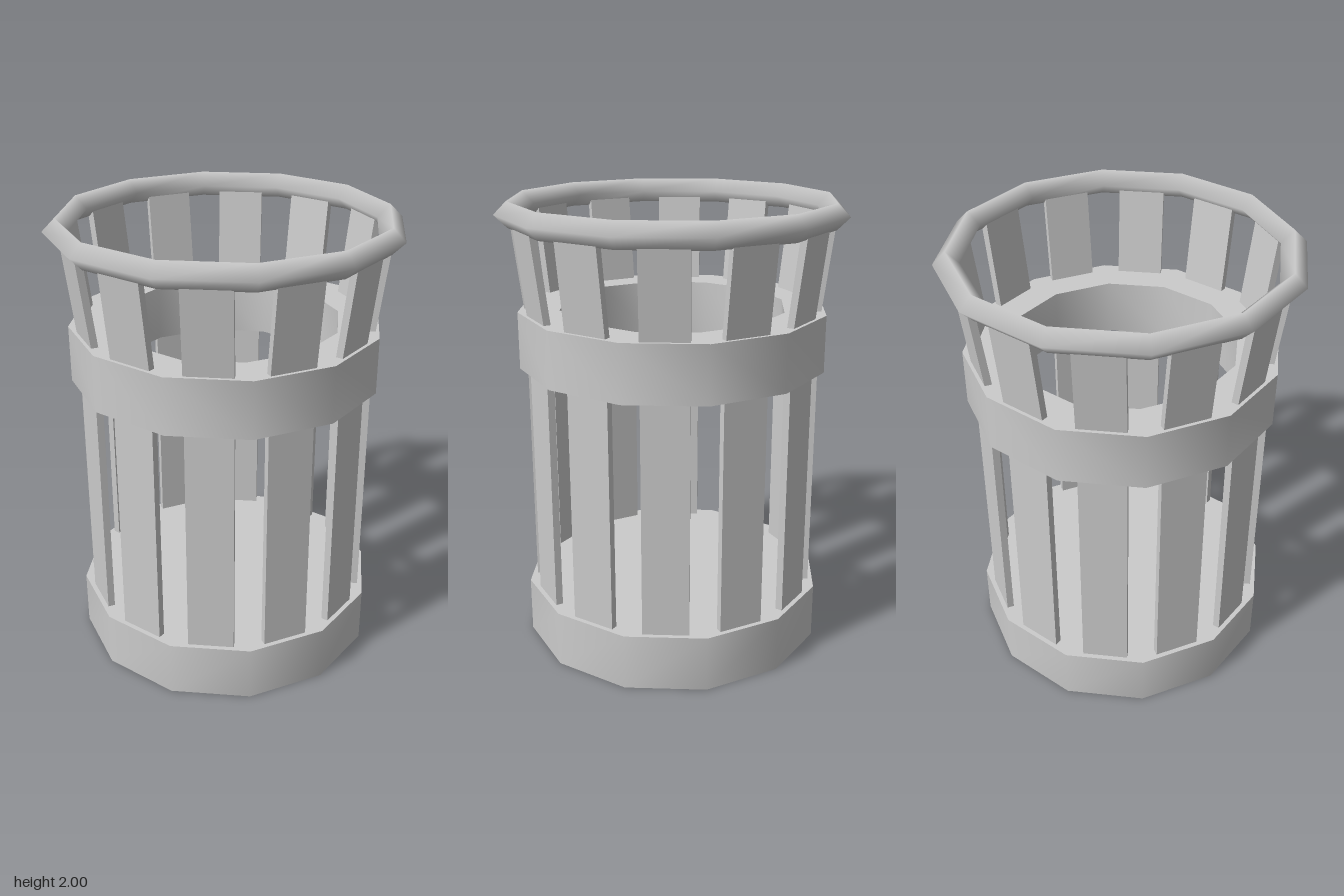
import * as THREE from 'three';
import { toCreasedNormals } from 'three/addons/utils/BufferGeometryUtils.js';

const SIDES = 12;

export function createModel() {
  const bin = new THREE.Group();
  bin.name = 'slattedBin';
  const material = new THREE.MeshStandardMaterial({ color: 0xcccccc });

  const add = (name, geometry, parent = bin) => {
    const mesh = new THREE.Mesh(geometry, material);
    mesh.name = name;
    parent.add(mesh);
    return mesh;
  };

  // Solid base drum, smooth around and sharp at its rims
  const base = add('base', toCreasedNormals(new THREE.CylinderGeometry(0.68, 0.68, 0.25, SIDES), 0.7));
  base.position.y = 0.125;

  // Thick hoop around the slats
  const hoopProfile = [[0.5, 1.28], [0.68, 1.28], [0.68, 1.53], [0.5, 1.53], [0.5, 1.28]]
    .map(([r, y]) => new THREE.Vector2(r, y));
  add('hoop', toCreasedNormals(new THREE.LatheGeometry(hoopProfile, SIDES), 0.7));

  // Rim at the mouth: diamond section, softly shaded
  const rim = add('rim', new THREE.TorusGeometry(0.705, 0.055, 4, SIDES));
  rim.rotation.x = Math.PI / 2;
  rim.position.y = 1.945;

  // Slats: upright below, leaning outward above the hoop
  const slatShape = new THREE.Shape([
    [0.605, 0.2], [0.636, 0.2], [0.636, 1.48], [0.692, 1.94], [0.661, 1.94], [0.605, 1.48],
  ].map(([r, y]) => new THREE.Vector2(r, y)));
  const slatGeometry = new THREE.ExtrudeGeometry(slatShape, { depth: 0.2, bevelEnabled: false });
  slatGeometry.translate(0, 0, -0.1);

  const slats = new THREE.Group();
  slats.name = 'slats';
  bin.add(slats);
  for (let i = 0; i < SIDES; i++) {
    add('slat', slatGeometry, slats).rotation.y = ((i + 0.5) / SIDES) * Math.PI * 2;
  }

  return bin;
}
